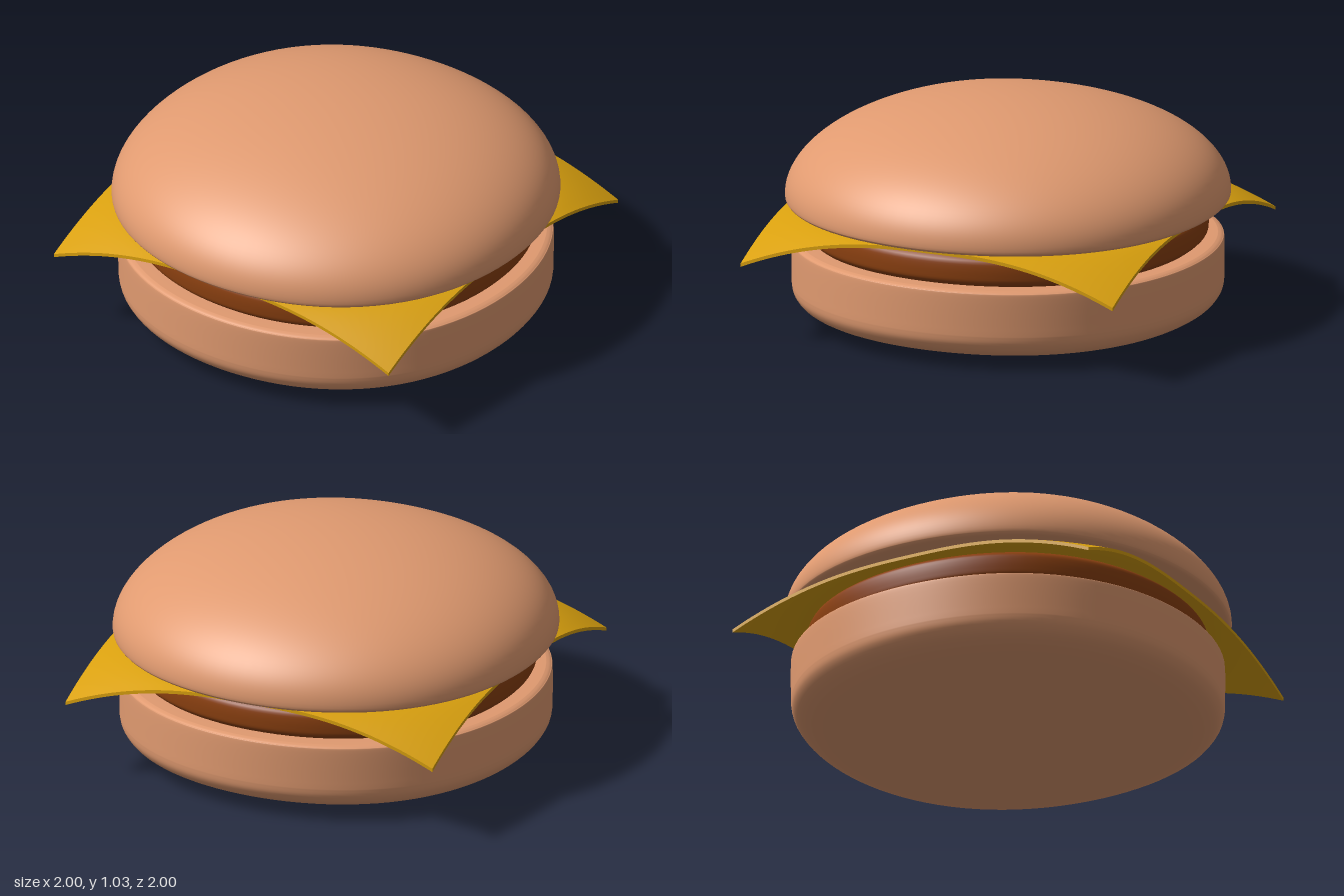
import * as THREE from 'three';

const BUN = 0xe09a70, PATTY = 0x8b4010, CHEESE = 0xd9a00e;

// Smooth curve through a few [radius, height] points
function smooth(points, divisions) {
  return new THREE.SplineCurve(points.map(([r, y]) => new THREE.Vector2(r, y)))
    .getPoints(divisions)
    .map((p) => new THREE.Vector2(Math.max(p.x, 0), p.y));
}

// Turned part whose outline bulges slightly towards the diagonals
function turned(name, profile, color) {
  const geometry = new THREE.LatheGeometry(profile, 96);
  const pos = geometry.attributes.position;
  for (let i = 0; i < pos.count; i++) {
    const x = pos.getX(i), z = pos.getZ(i);
    const k = 1 + 0.01 * (1 - Math.cos(4 * Math.atan2(z, x)));
    pos.setX(i, x * k);
    pos.setZ(i, z * k);
  }
  const mesh = new THREE.Mesh(geometry, new THREE.MeshStandardMaterial({ color }));
  mesh.name = name;
  return mesh;
}

// Square slice that lies flat on the patty and droops at its corners
function cheeseSlice() {
  const geometry = new THREE.BoxGeometry(1.84, 0.016, 1.84, 48, 1, 48);
  const pos = geometry.attributes.position;
  for (let i = 0; i < pos.count; i++) {
    const overhang = Math.max(0, Math.hypot(pos.getX(i), pos.getZ(i)) - 0.92);
    pos.setY(i, pos.getY(i) + 0.535 - 0.65 * Math.pow(overhang, 1.4));
  }
  geometry.computeVertexNormals();
  const mesh = new THREE.Mesh(geometry, new THREE.MeshStandardMaterial({ color: CHEESE }));
  mesh.name = 'cheeseSlice';
  return mesh;
}

export function createModel() {
  const group = new THREE.Group();
  group.name = 'burger';

  // Bottom bun: shallow rounded base, straight wall, softened rim
  const bottom = [
    ...smooth([[0, 0], [0.35, 0.006], [0.65, 0.022], [0.83, 0.045], [0.92, 0.08], [0.96, 0.125], [0.97, 0.17]], 30),
    ...smooth([[0.97, 0.2], [0.97, 0.35], [0.963, 0.371], [0.94, 0.38]], 16),
    new THREE.Vector2(0.9, 0.38),
    new THREE.Vector2(0, 0.38),
  ];
  group.add(turned('bottomBun', bottom, BUN));

  // Patty: flat disc with rounded edges
  const patty = [
    new THREE.Vector2(0, 0.375),
    new THREE.Vector2(0.84, 0.375),
    ...smooth([[0.87, 0.378], [0.895, 0.4], [0.9, 0.43], [0.9, 0.47], [0.893, 0.5], [0.865, 0.522]], 16),
    new THREE.Vector2(0.82, 0.525),
    new THREE.Vector2(0, 0.525),
  ];
  group.add(turned('patty', patty, PATTY));

  group.add(cheeseSlice());

  // Top bun: flat underside, small lip, elliptical dome
  const top = [
    new THREE.Vector2(0, 0.547),
    new THREE.Vector2(0.9, 0.547),
    ...smooth([[0.95, 0.548], [0.985, 0.555], [0.998, 0.568]], 8),
  ];
  for (let i = 0; i <= 40; i++) {
    const a = (i / 40) * Math.PI / 2;
    top.push(new THREE.Vector2(i === 40 ? 0 : Math.cos(a), 0.58 + 0.447 * Math.sin(a)));
  }
  group.add(turned('topBun', top, BUN));

  return group;
}
